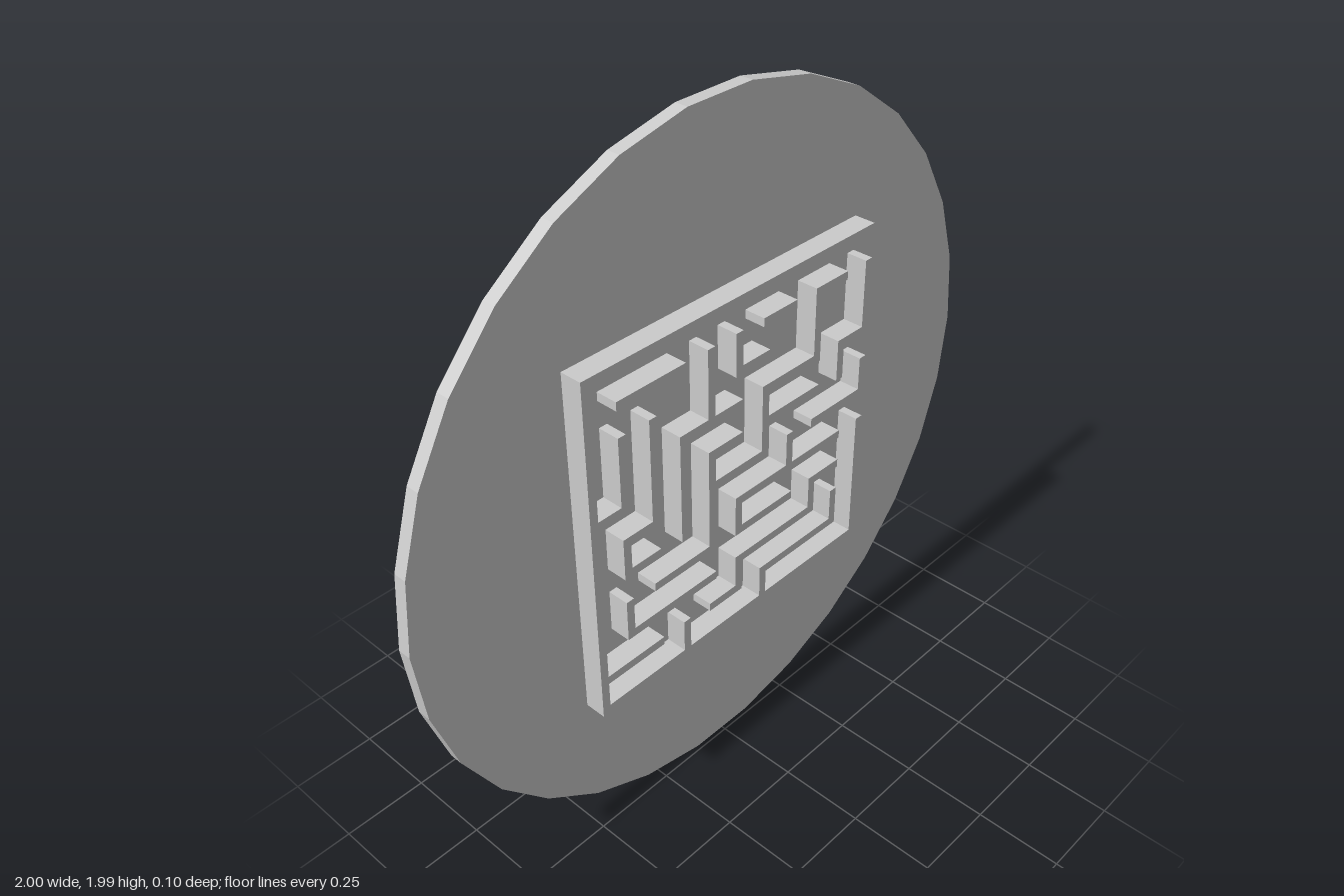
import * as THREE from 'three';

const CENTER_Y = Math.cos(Math.PI / 30); // flat edge of the 30-gon rests on the ground
const CELL = 0.1, WALL = 0.025, DEPTH = 0.0625, PLATE = 0.0375;
const BACK = -0.05;

// Wall runs on a 10 x 10 cell grid: [line, from, to]
const ROWS = [ // horizontal walls, line = grid row from the bottom
  [0, 0, 10], [10, 0, 10],
  [9, 1, 3], [9, 6, 7], [9, 8, 9],
  [8, 5, 6],
  [7, 3, 5], [7, 6, 8], [7, 9, 10],
  [6, 0, 1], [6, 4, 5], [6, 6, 8],
  [5, 1, 2], [5, 4, 6], [5, 8, 10],
  [4, 1, 2], [4, 5, 9],
  [3, 2, 4], [3, 5, 7], [3, 8, 9],
  [2, 1, 4], [2, 5, 8],
  [1, 0, 2], [1, 4, 5], [1, 6, 9],
];
const COLUMNS = [ // vertical walls, line = grid column from the left of the front
  [0, 0, 10],
  [1, 6, 8], [1, 4, 5], [1, 2, 3],
  [2, 5, 8],
  [3, 4, 7], [3, 0, 1],
  [4, 7, 9], [4, 3, 6],
  [5, 8, 9], [5, 3, 4], [5, 1, 2],
  [6, 5, 7], [6, 0, 1],
  [7, 4, 5],
  [8, 7, 9], [8, 2, 3],
  [9, 6, 7], [9, 1, 2],
  [10, 7, 9], [10, 5, 6], [10, 0, 4],
];

export function createModel() {
  const group = new THREE.Group();
  const material = new THREE.MeshStandardMaterial({ color: 0xcccccc, flatShading: true });

  // Thin faceted disc standing upright, with a corner on the +x axis
  const discGeometry = new THREE.CylinderGeometry(1, 1, PLATE, 30);
  discGeometry.rotateY(Math.PI / 2).rotateX(Math.PI / 2);
  const disc = new THREE.Mesh(discGeometry, material);
  disc.name = 'disc';
  disc.position.set(0, CENTER_Y, BACK + PLATE / 2);
  group.add(disc);

  // Raised maze walls on the front face
  const maze = new THREE.Group();
  maze.name = 'maze';
  maze.position.set(0, CENTER_Y, BACK + PLATE + DEPTH / 2);
  group.add(maze);

  const addWall = ([line, from, to], vertical) => {
    const length = (to - from) * CELL + WALL;
    const along = ((from + to) / 2 - 5) * CELL;
    const across = (line - 5) * CELL;
    const size = vertical ? [WALL, length] : [length, WALL];
    const wall = new THREE.Mesh(new THREE.BoxGeometry(...size, DEPTH), material);
    wall.name = vertical ? 'verticalWall' : 'horizontalWall';
    wall.position.set(vertical ? across : along, vertical ? along : across, 0);
    maze.add(wall);
  };
  ROWS.forEach((run) => addWall(run, false));
  COLUMNS.forEach((run) => addWall(run, true));

  return group;
}
